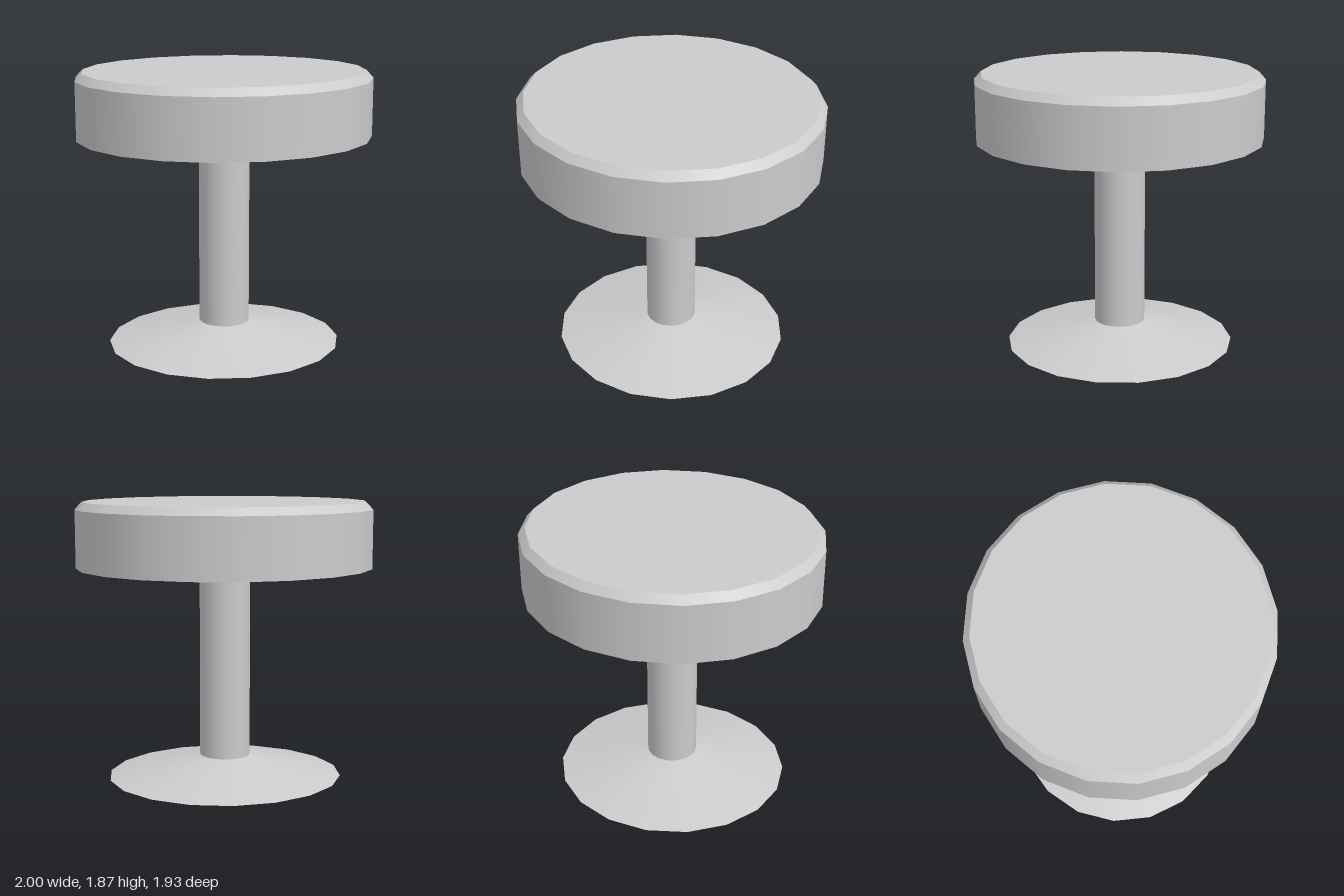
import * as THREE from 'three';

const grey = new THREE.MeshStandardMaterial({ color: 0xcccccc });

// Upright frustum from y0 to y1, slightly oval through its depth factor.
function frustum(name, rBottom, rTop, y0, y1, sides, depth, open = false) {
  const geometry = new THREE.CylinderGeometry(rTop, rBottom, y1 - y0, sides, 1, open);
  geometry.scale(1, 1, depth);
  geometry.translate(0, (y0 + y1) / 2, 0);
  const mesh = new THREE.Mesh(geometry, grey);
  mesh.name = name;
  return mesh;
}

export function createModel() {
  const stool = new THREE.Group();
  stool.name = 'stool';

  // Flared foot and central post
  stool.add(frustum('base', 0.798, 0.172, 0, 0.14, 18, 0.972));
  stool.add(frustum('post', 0.171, 0.171, 0.13, 1.43, 18, 1, true));

  // Thick round cushion with a bevelled top rim
  const seat = new THREE.Group();
  seat.name = 'seat';
  seat.add(frustum('cushion', 1, 1, 1.43, 1.82, 20, 0.963));
  seat.add(frustum('cushionBevel', 1, 0.953, 1.82, 1.87, 20, 0.963));
  stool.add(seat);

  return stool;
}
